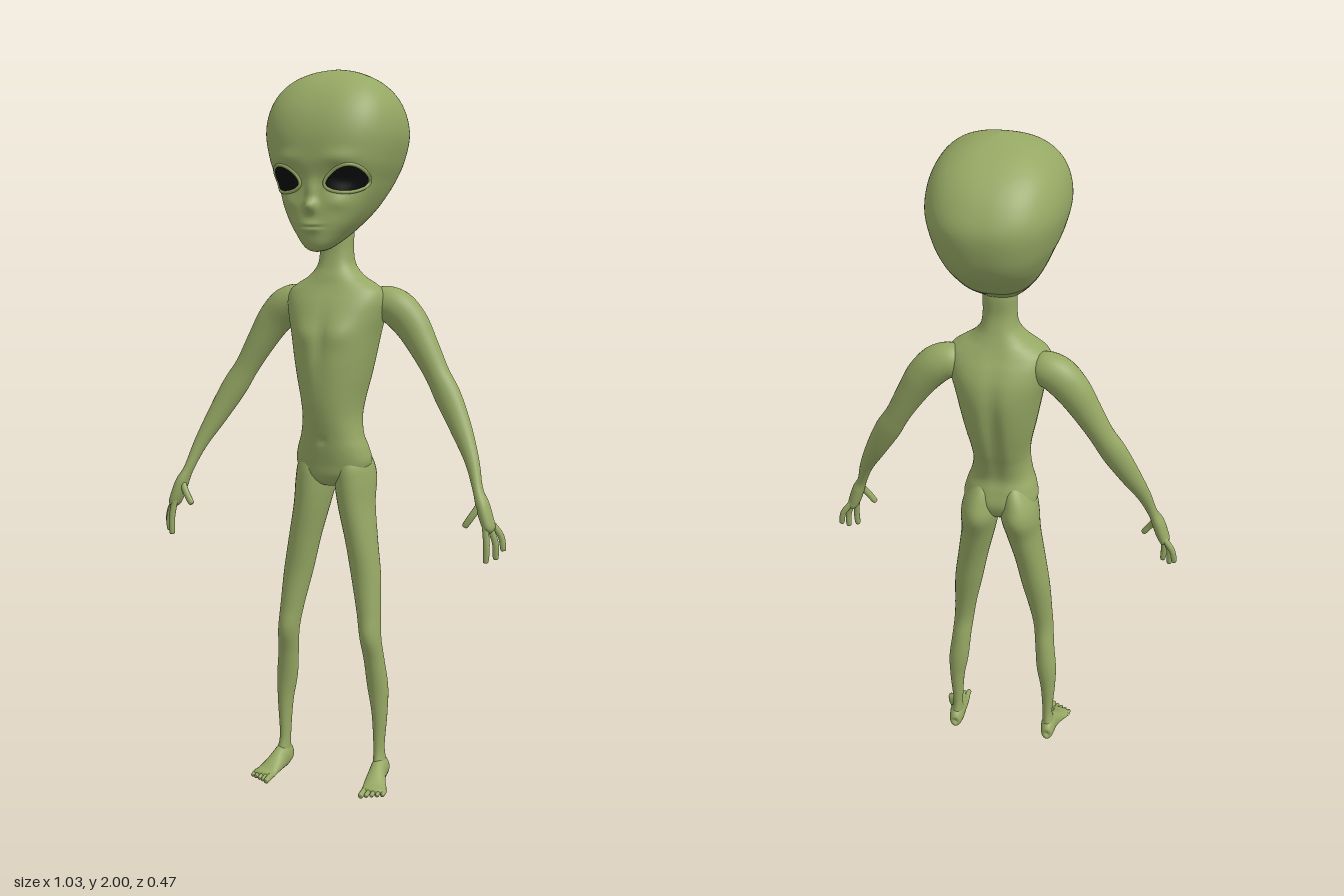
import * as THREE from 'three';

const skinMat = new THREE.MeshStandardMaterial({ color: 0x96a864 });
skinMat.name = 'green skin';
const eyeMat = new THREE.MeshStandardMaterial({ color: 0x0a0b0c });
eyeMat.name = 'black eye';

const gauss = (...d) => Math.exp(-d.reduce((s, k) => s + k * k, 0));
const spow = (c, p) => Math.sign(c) * Math.abs(c) ** p;

// Smooth interpolation of all columns of a table, v in 0..1
function sample(rows, v) {
  const t = Math.min(Math.max(v, 0), 1) * (rows.length - 1);
  const i = Math.min(Math.floor(t), rows.length - 2), f = t - i;
  const at = (k) => rows[Math.min(Math.max(k, 0), rows.length - 1)];
  return rows[i].map((b, k) => {
    const a = at(i - 1)[k], c = at(i + 1)[k], d = at(i + 2)[k];
    return b + 0.5 * f * (c - a + f * (2 * a - 5 * b + 4 * c - d + f * (3 * (b - c) + d - a)));
  });
}

// Closed-ring surface from point(u angle, v 0..1); side -1 mirrors it
function surface(name, nu, nv, point, side = 1, mat = skinMat) {
  const pos = [], idx = [];
  for (let j = 0; j <= nv; j++) {
    for (let i = 0; i < nu; i++) {
      const p = point((i / nu) * Math.PI * 2, j / nv);
      pos.push(p[0] * side, p[1], p[2]);
      if (j === nv) continue;
      const a = j * nu + i, b = j * nu + (i + 1) % nu, c = a + nu, d = b + nu;
      if (side > 0) idx.push(a, c, b, b, c, d);
      else idx.push(a, b, c, b, d, c);
    }
  }
  const g = new THREE.BufferGeometry();
  g.setAttribute('position', new THREE.Float32BufferAttribute(pos, 3));
  g.setIndex(idx);
  g.computeVertexNormals();
  const mesh = new THREE.Mesh(g, mat);
  mesh.name = name;
  return mesh;
}

// Limb along a path of [x, y, z, radiusA, radiusB]
function limb(name, rows, ref, side, nu = 24, nv = 60) {
  const up = new THREE.Vector3(...ref);
  return surface(name, nu, nv, (u, v) => {
    const [x, y, z, ra, rb] = sample(rows, v);
    const p = sample(rows, v - 0.01), q = sample(rows, v + 0.01);
    const t = new THREE.Vector3(q[0] - p[0], q[1] - p[1], q[2] - p[2]).normalize();
    const n1 = up.clone().cross(t).normalize(), n2 = n1.clone().cross(t);
    const c = new THREE.Vector3(x, y, z)
      .addScaledVector(n1, Math.max(ra, 0) * Math.cos(u))
      .addScaledVector(n2, Math.max(rb, 0) * Math.sin(u));
    return c.toArray();
  }, side);
}

// Finger or toe: three points, tapered radius, rounded tip
function digit(name, a, b, c, r, ref, side) {
  const tip = c.map((k, i) => k + (c[i] - b[i]) * 0.08);
  return limb(name, [[...a, r, r], [...b, r, r], [...c, r * 0.85, r * 0.85], [...tip, 0, 0]], ref, side, 12, 18);
}

// Head sections: y, half width, front z, back z
const HEAD = [
  [1.51, 0, 0.17, 0.15], [1.515, 0.02, 0.192, 0.11], [1.53, 0.04, 0.203, 0.065],
  [1.555, 0.062, 0.208, 0], [1.585, 0.086, 0.21, -0.055], [1.62, 0.108, 0.208, -0.115],
  [1.66, 0.128, 0.204, -0.165], [1.7, 0.145, 0.203, -0.205], [1.75, 0.166, 0.209, -0.228],
  [1.82, 0.182, 0.206, -0.237], [1.88, 0.176, 0.188, -0.212], [1.93, 0.153, 0.155, -0.168],
  [1.967, 0.113, 0.112, -0.11], [1.99, 0.06, 0.06, -0.05], [2, 0, 0.01, 0]];
const N = 2.5;

// Facial relief: sockets, brows, cheeks, nose and mouth
function relief(x, y) {
  const ax = Math.abs(x);
  return -0.014 * gauss((ax - 0.085) / 0.045, (y - 1.7) / 0.03)
    + 0.006 * gauss((ax - 0.08) / 0.045, (y - 1.757) / 0.018)
    + 0.006 * gauss((ax - 0.075) / 0.03, (y - 1.64) / 0.02)
    + 0.026 * gauss(x / 0.015, (y - 1.632) / 0.017)
    + 0.01 * gauss(x / 0.013, (y - 1.67) / 0.03)
    + 0.009 * gauss(x / 0.026, (y - 1.578) / 0.014)
    - 0.007 * gauss(x / 0.03, (y - 1.577) / 0.004);
}

function headPoint(u, v) {
  const [y, w, zf, zb] = sample(HEAD, v);
  const zc = zb + (zf - zb) * 0.6, s = spow(Math.sin(u), 2 / N);
  const x = Math.max(w, 0) * spow(Math.cos(u), 2 / N);
  const z = s > 0 ? zc + (zf - zc) * s + relief(x, y) * Math.min(1, s * 2) : zc + (zc - zb) * s;
  return [x, y, z];
}

// Depth of the face at a given x, y
function faceZ(x, y) {
  let lo = 0, hi = 1;
  for (let k = 0; k < 24; k++) {
    const m = (lo + hi) / 2;
    if (sample(HEAD, m)[0] < y) lo = m; else hi = m;
  }
  const w = sample(HEAD, lo)[1];
  return headPoint(Math.acos(spow(Math.min(x / w, 1), N / 2)), lo)[2];
}

// Slanted almond eye, r from 0 at the centre to 1 at the rim
function eyePoint(u, r, lift) {
  const a = 0.049 * r * Math.cos(u), b = 0.033 * r * Math.sin(u) * (1 + 0.25 * Math.cos(u));
  const x = 0.084 + a * Math.cos(0.28) - b * Math.sin(0.28);
  const y = 1.701 + a * Math.sin(0.28) + b * Math.cos(0.28);
  return [x, y, faceZ(x, y) + lift];
}

// Torso and neck sections: y, half width, front z, back z
const TORSO = [
  [0.85, 0, 0.05, 0.03], [0.86, 0.04, 0.09, 0], [0.885, 0.085, 0.113, -0.03], [0.92, 0.107, 0.12, -0.043],
  [0.96, 0.101, 0.128, -0.037], [1, 0.087, 0.135, -0.03], [1.05, 0.08, 0.146, -0.045],
  [1.1, 0.085, 0.154, -0.066], [1.16, 0.098, 0.158, -0.086], [1.22, 0.11, 0.158, -0.1],
  [1.28, 0.122, 0.15, -0.106], [1.33, 0.135, 0.135, -0.1], [1.37, 0.142, 0.117, -0.084],
  [1.4, 0.135, 0.1, -0.066], [1.42, 0.11, 0.09, -0.055], [1.44, 0.078, 0.083, -0.046],
  [1.47, 0.053, 0.072, -0.035], [1.51, 0.046, 0.064, -0.026], [1.56, 0.046, 0.062, -0.028],
  [1.6, 0.04, 0.055, -0.025]];

function torsoPoint(u, v) {
  const [y, w, zf, zb] = sample(TORSO, v);
  const s = Math.sin(u), x = Math.max(w, 0) * spow(Math.cos(u), 0.88);
  let z = (zf + zb) / 2 + (zf - zb) / 2 * spow(s, 0.88);
  // chest muscles and belly line in front, spine groove behind
  if (s > 0) z += s * (0.009 * gauss((Math.abs(x) - 0.055) / 0.04, (y - 1.285) / 0.035)
    - 0.006 * gauss(x / 0.015, (y - 1.27) / 0.08) - 0.005 * gauss(x / 0.009, (y - 0.99) / 0.01));
  else z -= s * 0.014 * gauss(x / 0.022, (y - 1.18) / 0.16);
  return [x, y, z];
}

// Leg sections: y, centre x, half width, front z, back z
const LEG = [
  [0.02, 0.15, 0.015, 0.08, 0.035], [0.05, 0.15, 0.019, 0.095, 0.034], [0.1, 0.146, 0.015, 0.085, 0.04],
  [0.2, 0.146, 0.022, 0.085, 0.034], [0.28, 0.14, 0.03, 0.088, 0.03], [0.36, 0.132, 0.029, 0.1, 0.036],
  [0.43, 0.125, 0.03, 0.118, 0.044], [0.5, 0.117, 0.034, 0.11, 0.035], [0.6, 0.103, 0.042, 0.102, 0.013],
  [0.7, 0.086, 0.045, 0.106, -0.008], [0.8, 0.067, 0.05, 0.112, -0.037], [0.87, 0.059, 0.055, 0.114, -0.066],
  [0.92, 0.055, 0.049, 0.11, -0.058], [0.97, 0.045, 0.03, 0.09, -0.03], [1, 0.04, 0, 0.04, 0.02]];

const ARM = [
  [0.085, 1.365, -0.01, 0, 0], [0.11, 1.367, -0.01, 0.042, 0.04], [0.16, 1.355, -0.014, 0.052, 0.05],
  [0.205, 1.312, -0.015, 0.05, 0.046], [0.245, 1.25, -0.01, 0.042, 0.04], [0.288, 1.175, -0.002, 0.035, 0.034],
  [0.325, 1.112, 0.01, 0.037, 0.032], [0.37, 1.03, 0.033, 0.03, 0.027], [0.41, 0.95, 0.063, 0.02, 0.02],
  [0.435, 0.88, 0.09, 0.014, 0.018], [0.452, 0.84, 0.101, 0.018, 0.026], [0.466, 0.8, 0.106, 0.018, 0.028],
  [0.476, 0.775, 0.107, 0.014, 0.024], [0.48, 0.764, 0.107, 0, 0]];

const FOOT = [
  [0.15, 0.028, 0.024, 0, 0], [0.15, 0.028, 0.03, 0.016, 0.022], [0.15, 0.038, 0.06, 0.023, 0.037],
  [0.152, 0.034, 0.09, 0.024, 0.033], [0.158, 0.024, 0.125, 0.029, 0.022], [0.166, 0.015, 0.155, 0.034, 0.013],
  [0.169, 0.012, 0.175, 0.032, 0.01], [0.17, 0.01, 0.182, 0, 0]];

export function createModel() {
  const model = new THREE.Group();
  model.name = 'alien';
  model.add(surface('head', 160, 126, headPoint), surface('torso', 72, 110, torsoPoint));

  for (const side of [1, -1]) {
    const half = new THREE.Group();
    half.name = side > 0 ? 'leftSide' : 'rightSide';
    const Z = [0, 0, 1], Y = [0, 1, 0];

    // Eye and its lid rim
    half.add(surface('eye', 48, 10, (u, v) => eyePoint(u, v, 0.003 + 0.006 * (1 - v * v)), side, eyeMat));
    const rim = [];
    for (let i = 0; i < 32; i++) {
      const p = eyePoint((i / 32) * Math.PI * 2, 1.04, 0);
      rim.push(new THREE.Vector3(p[0] * side, p[1], p[2]));
    }
    const lid = new THREE.Mesh(new THREE.TubeGeometry(new THREE.CatmullRomCurve3(rim, true), 64, 0.005, 8, true), skinMat);
    lid.name = 'eyelid';
    half.add(lid);

    // Leg with buttock, then foot and toes
    half.add(surface('leg', 32, 90, (u, v) => {
      const [y, xc, r, zf, zb] = sample(LEG, v);
      return [xc + Math.max(r, 0) * Math.cos(u), y, (zf + zb) / 2 + (zf - zb) / 2 * Math.sin(u)];
    }, side));
    half.add(limb('foot', FOOT, Y, side));
    for (let i = 0; i < 5; i++) {
      const x = 0.143 + 0.0135 * i, z = 0.208 - 0.007 * i, r = i ? 0.0065 : 0.0085;
      half.add(digit('toe', [x, 0.014, 0.155], [x + 0.001, 0.012, z - 0.018], [x + 0.001, 0.009, z], r, Y, side));
    }

    // Arm with palm, fingers and thumb
    half.add(limb('arm', ARM, Z, side, 28, 90));
    half.add(digit('outerFinger', [0.474, 0.79, 0.09], [0.5, 0.755, 0.085], [0.508, 0.718, 0.087], 0.009, Z, side));
    half.add(digit('middleFinger', [0.474, 0.785, 0.107], [0.491, 0.74, 0.108], [0.493, 0.698, 0.108], 0.009, Z, side));
    half.add(digit('innerFinger', [0.466, 0.79, 0.123], [0.473, 0.735, 0.13], [0.472, 0.692, 0.132], 0.009, Z, side));
    half.add(digit('thumb', [0.45, 0.845, 0.108], [0.43, 0.812, 0.121], [0.411, 0.783, 0.126], 0.0095, Z, side));
    model.add(half);
  }
  return model;
}
